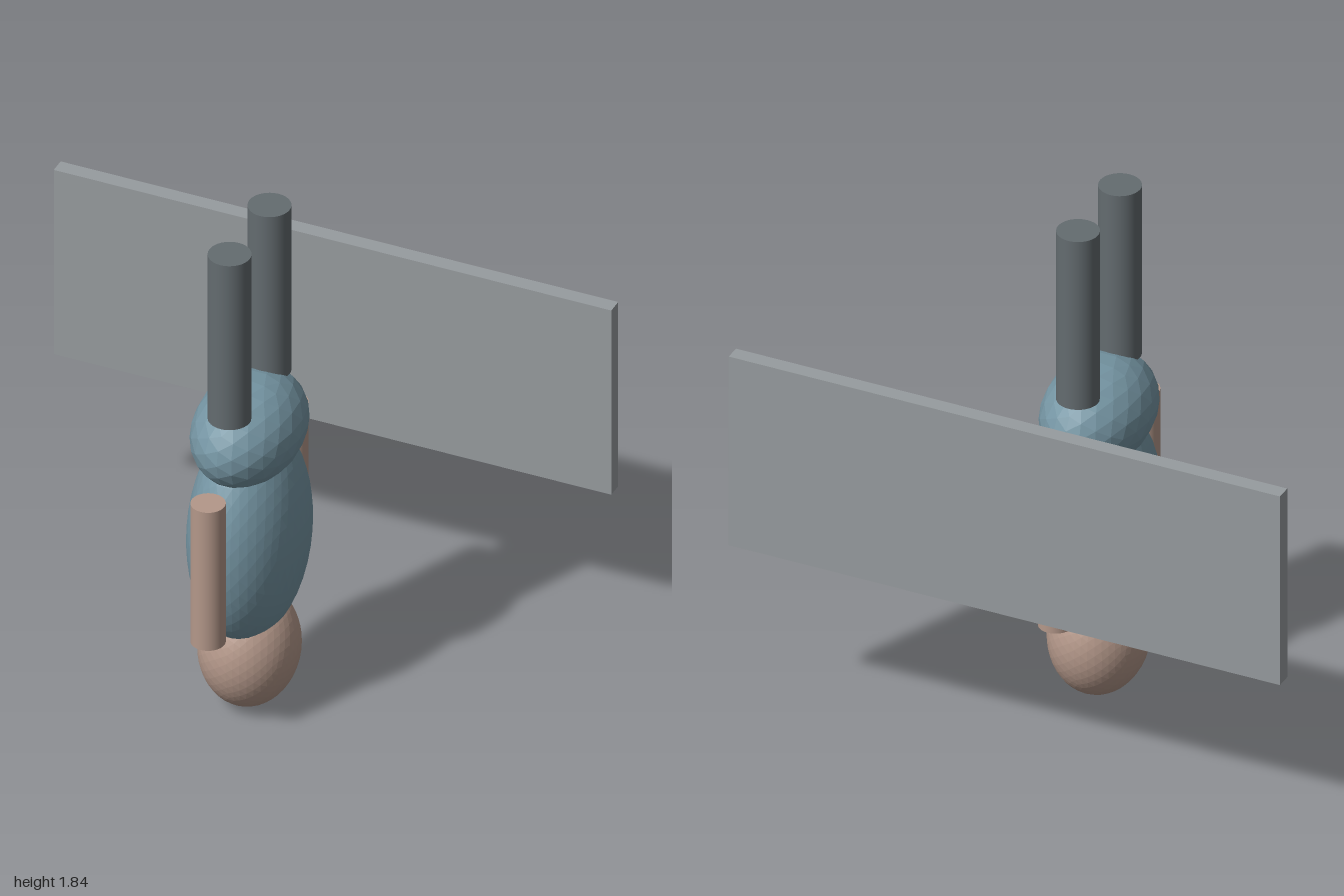
import * as THREE from 'three';

const mat = (name, color) => {
  const m = new THREE.MeshStandardMaterial({ color });
  m.name = name;
  return m;
};

export function createModel() {
  const group = new THREE.Group();
  const cloth = mat('blueCloth', 0x7595a3);
  const skin = mat('skin', 0xb4988a);
  const trousers = mat('darkGrey', 0x646c70);
  const board = mat('lightGrey', 0x979c9f);
  const bodyZ = 0.163;

  const add = (name, geometry, material, x, y, z) => {
    const mesh = new THREE.Mesh(geometry, material);
    mesh.name = name;
    mesh.position.set(x, y, z);
    group.add(mesh);
  };

  // Faceted ellipsoid: unshared corners give each face its own normal
  const ellipsoid = (rx, ry, rz, detail) => {
    const g = new THREE.IcosahedronGeometry(1, detail);
    g.scale(rx, ry, rz);
    g.computeVertexNormals();
    return g;
  };

  // Upside-down body: head at the bottom, pelvis on top
  add('head', ellipsoid(0.167, 0.215, 0.19, 7), skin, 0, 0.215, bodyZ);
  add('torso', ellipsoid(0.19, 0.41, 0.278, 7), cloth, 0, 0.67, bodyZ);
  add('pelvis', ellipsoid(0.18, 0.18, 0.262, 3), cloth, 0, 1.07, bodyZ);

  // Arms beside the torso and legs pointing up
  for (const [side, s] of [['front', 1], ['back', -1]]) {
    add(side + 'Arm', new THREE.CylinderGeometry(0.058, 0.058, 0.543, 32), skin,
      0, 0.697, bodyZ + s * 0.328);
    add(side + 'Leg', new THREE.CylinderGeometry(0.072, 0.072, 0.645, 32), trousers,
      0, 1.522, bodyZ + s * 0.158);
  }

  // Flat board behind the body
  add('backBoard', new THREE.BoxGeometry(2, 0.725, 0.055), board, 0, 1.038, -0.522);

  return group;
}
